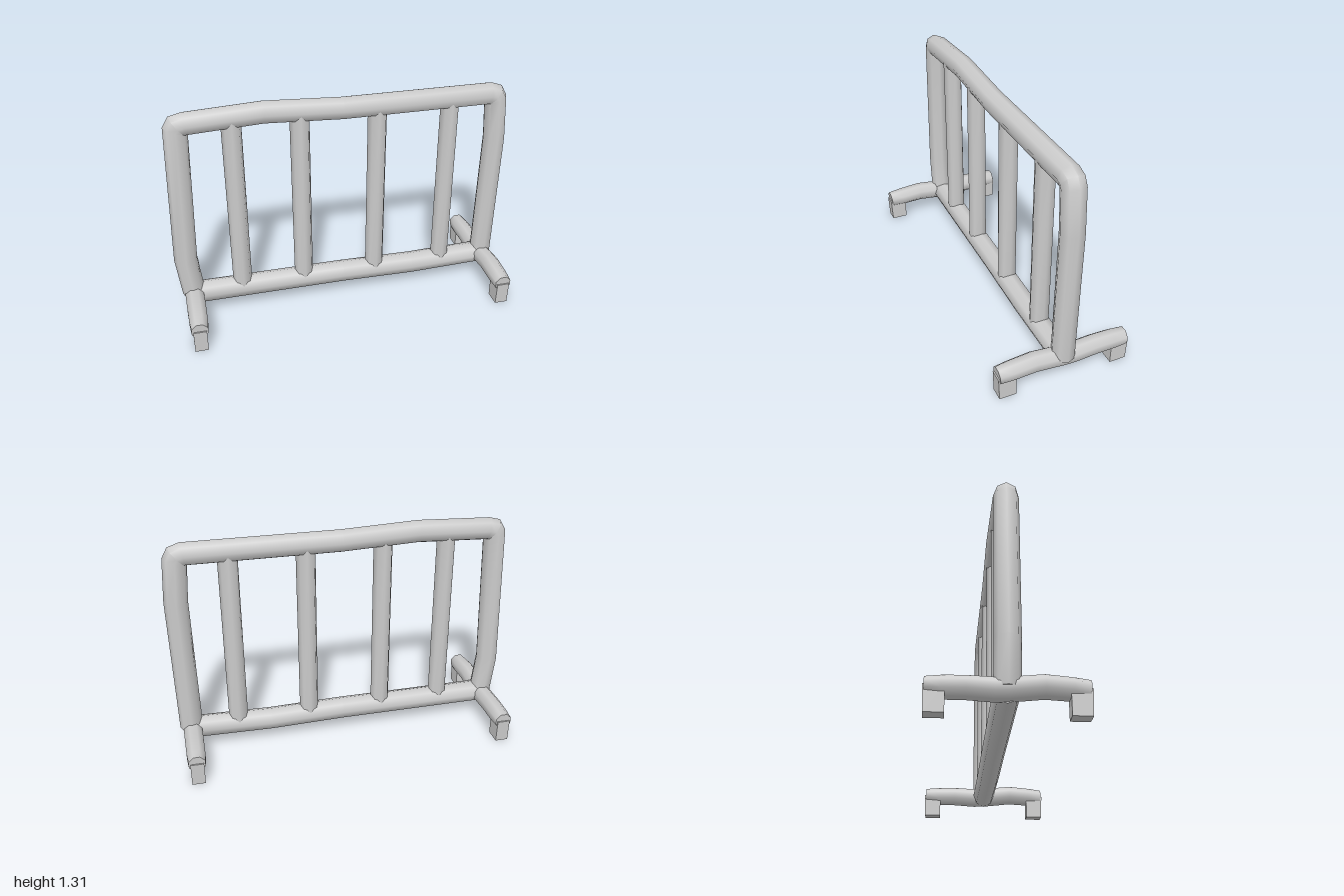
import * as THREE from 'three';
import { toCreasedNormals } from 'three/addons/utils/BufferGeometryUtils.js';

const SIDES = 8;
const material = new THREE.MeshStandardMaterial({ color: 0xcccccc });
const v = (x, y, z) => new THREE.Vector3(x, y, z);

// Capped octagonal pipe with mitred bends along a path that lies square to `side`
function pipe(points, radii, side, phase = 0) {
  const pos = [], index = [], last = points.length - 1;
  points.forEach((p, i) => {
    const before = p.clone().sub(points[Math.max(i - 1, 0)]).normalize();
    const after = points[Math.min(i + 1, last)].clone().sub(p).normalize();
    const t = before.clone().add(after).normalize();
    const stretch = 1 / t.dot(i < last ? after : before);
    const n = side.clone().cross(t).normalize();
    const r = Array.isArray(radii) ? radii[i] : radii;
    for (let j = 0; j < SIDES; j++) {
      const a = (j + phase) / SIDES * Math.PI * 2;
      const q = p.clone().addScaledVector(n, Math.cos(a) * r * stretch).addScaledVector(side, Math.sin(a) * r);
      pos.push(q.x, q.y, q.z);
    }
  });
  for (let i = 0; i < last; i++) {
    for (let j = 0; j < SIDES; j++) {
      const k = (j + 1) % SIDES;
      const a = i * SIDES + j, b = i * SIDES + k, c = b + SIDES, d = a + SIDES;
      index.push(a, b, c, a, c, d);
    }
  }
  const end = last * SIDES;
  for (let j = 1; j < SIDES - 1; j++) index.push(0, j + 1, j, end, end + j, end + j + 1);
  const geo = new THREE.BufferGeometry();
  geo.setAttribute('position', new THREE.Float32BufferAttribute(pos, 3));
  geo.setIndex(index);
  return toCreasedNormals(geo, 0.9);
}

export function createModel() {
  const group = new THREE.Group();
  const add = (name, geo, parent = group) => {
    const mesh = new THREE.Mesh(geo, material);
    mesh.name = name;
    parent.add(mesh);
    return mesh;
  };
  const Z = v(0, 0, 1), X = v(1, 0, 0);

  // Slightly bent hoop: both posts and the top rail
  const hoop = [
    [-0.908, 0.14], [-0.935, 0.38], [-0.91, 1.195], [-0.897, 1.217], [-0.862, 1.226],
    [-0.44, 1.245], [0, 1.225], [0.87, 1.225], [0.902, 1.214], [0.915, 1.19],
    [0.93, 0.95], [0.915, 0.14],
  ].map(([x, y]) => v(x, y, 0));
  hoop[5].z = -0.005;
  add('hoopFrame', pipe(hoop, 0.066, Z));

  // Bottom rail with a shallow sag
  const rail = [[-0.9, 0.135], [0, 0.135], [0.44, 0.125], [0.9, 0.135]].map(([x, y]) => v(x, y, 0));
  add('bottomRail', pipe(rail, 0.066, Z));

  // Upright bars
  [-0.615, -0.24, 0.205, 0.635].forEach((x, i) => {
    add('uprightBar' + (i + 1), pipe([v(x, 0.14, 0), v(x, 1.23, 0)], 0.056, Z));
  });

  // Cross feet: a wavy bar with a short square leg at each end
  for (const [name, x] of [['rightFoot', -0.908], ['leftFoot', 0.91]]) {
    const foot = new THREE.Group();
    foot.name = name;
    foot.position.x = x;
    const path = [
      [0.378, 0.137], [0.3, 0.142], [0.17, 0.151], [0, 0.132],
      [-0.06, 0.13], [-0.19, 0.137], [-0.3, 0.135], [-0.378, 0.133],
    ].map(([z, y]) => v(0, y, z));
    add('footBar', pipe(path, [0.05, 0.056, 0.058, 0.058, 0.058, 0.057, 0.056, 0.05], X, 0.5), foot);
    for (const s of [1, -1]) {
      // Leg, bulging outwards a little at the knee
      const leg = new THREE.BoxGeometry(0.075, 0.135, 0.096);
      const p = leg.attributes.position;
      for (let i = 0; i < p.count; i++) {
        if (p.getY(i) > 0 && p.getZ(i) * s > 0) p.setZ(i, p.getZ(i) + s * 0.006);
      }
      leg.computeVertexNormals();
      add('footLeg', leg, foot).position.set(0, 0.0675, s * 0.332);
    }
    group.add(foot);
  }
  return group;
}
